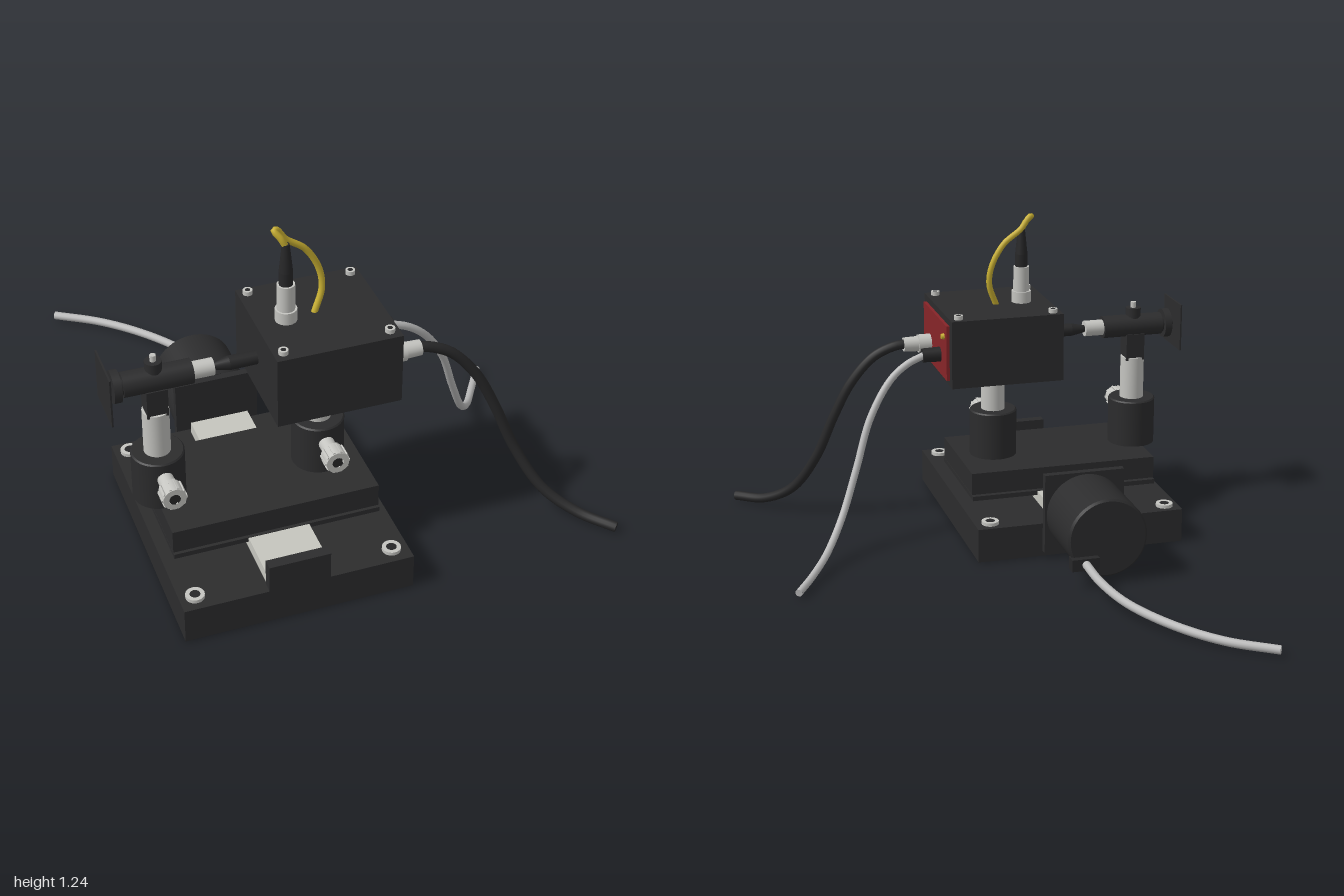
import * as THREE from 'three';

const mat = (name, color) => {
  const m = new THREE.MeshStandardMaterial({ color });
  m.name = name;
  return m;
};

export function createModel() {
  const black = mat('black anodised', 0x2c2c2d);
  const rubber = mat('black rubber', 0x272728);
  const steel = mat('steel', 0xc4c4c0);
  const railGrey = mat('rail grey', 0xc6c6be);
  const cableGrey = mat('grey cable', 0xb8b8b8);
  const red = mat('red panel', 0x872428);
  const yellow = mat('yellow fibre', 0xc9b032);

  const root = new THREE.Group();
  const group = (name, x = 0, y = 0, z = 0) => {
    const g = new THREE.Group();
    g.name = name;
    g.position.set(x, y, z);
    root.add(g);
    return g;
  };
  const add = (parent, name, geometry, material) => {
    const m = new THREE.Mesh(geometry, material);
    m.name = name;
    parent.add(m);
    return m;
  };
  // Box given by its minimum and maximum on each axis
  const box = (parent, name, material, x0, x1, y0, y1, z0, z1) =>
    add(parent, name, new THREE.BoxGeometry(x1 - x0, y1 - y0, z1 - z0), material)
      .position.set((x0 + x1) / 2, (y0 + y1) / 2, (z0 + z1) / 2);
  // Solid turned from [radius, height] points, with sharp steps, along the given axis
  const turned = (parent, name, material, points, axis = 'y', seg = 32) => {
    const pos = [];
    for (let i = 0; i < points.length - 1; i++) {
      const pair = [points[i], points[i + 1]].map(p => new THREE.Vector2(p[0], p[1]));
      const g = new THREE.LatheGeometry(pair, seg);
      if (axis === 'x') g.rotateZ(-Math.PI / 2);
      if (axis === 'z') g.rotateX(Math.PI / 2);
      pos.push(add(parent, name, g, material));
    }
    return pos;
  };
  const rod = (parent, name, material, r0, r1, a, b, axis, seg) =>
    turned(parent, name, material, [[0, a], [r0, a], [r1, b], [0, b]], axis, seg);
  const cable = (name, material, r, points) => {
    const path = new THREE.CatmullRomCurve3(points.map(p => new THREE.Vector3(...p)), false, 'centripetal');
    const g = group(name);
    add(g, name, new THREE.TubeGeometry(path, 64, r, 12), material);
    // Round disc closing each end
    [0, 1].forEach(t => {
      const cap = add(g, name + 'End', new THREE.CircleGeometry(r, 12), material);
      const p = path.getPointAt(t), d = path.getTangentAt(t).multiplyScalar(t ? 1 : -1);
      cap.position.copy(p);
      cap.lookAt(p.clone().add(d));
    });
  };
  // Socket-head screw standing on y = 0
  const capScrew = (name, x, y, z, r, h) => {
    const g = group(name, x, y, z);
    turned(g, 'head', steel, [[r, 0], [r, h], [r * 0.55, h]], 'y', 20);
    rod(g, 'socket', rubber, r * 0.55, r * 0.55, 0, h * 0.85, 'y', 6);
  };

  // Base, rail and end stop
  const base = group('base');
  box(base, 'basePlate', black, -0.755, 0.063, 0.005, 0.137, 0.065, 0.995);
  box(base, 'rail', railGrey, -0.455, -0.235, 0.137, 0.182, 0.085, 0.96);
  box(base, 'endStop', black, -0.458, -0.24, 0.137, 0.24, 0.955, 0.995);
  for (const x of [-0.7, 0.003])
    for (const z of [0.118, 0.935]) capScrew('baseScrew', x, 0.137, z, 0.033, 0.013);

  // Sliding carriage
  const carriage = group('carriage');
  box(carriage, 'carriageSkirt', black, -0.72, 0.025, 0.166, 0.184, 0.29, 0.765);
  box(carriage, 'carriagePlate', black, -0.72, 0.025, 0.186, 0.273, 0.305, 0.755);
  box(carriage, 'carriageCore', black, -0.7, 0.005, 0.18, 0.19, 0.32, 0.74);

  // Motor behind the base
  const motor = group('motor', -0.347, 0.183, 0);
  box(motor, 'flange', black, -0.157, 0.157, -0.157, 0.157, 0.037, 0.065);
  rod(motor, 'neck', rubber, 0.147, 0.147, 0.02, 0.04, 'z', 48);
  turned(motor, 'motorCan', black,
    [[0, -0.25], [0.145, -0.25], [0.153, -0.242], [0.153, 0.027], [0, 0.027]], 'z', 48);
  box(motor, 'motorPlug', rubber, 0.04, 0.145, -0.108, -0.062, -0.275, -0.23);
  cable('motorCable', cableGrey, 0.016, [
    [-0.255, 0.1, -0.265], [-0.27, 0.08, -0.4], [-0.32, 0.058, -0.56],
    [-0.43, 0.04, -0.74], [-0.56, 0.03, -0.88], [-0.72, 0.027, -0.99]]);

  // Post holders with thumbscrews and posts
  for (const x of [-0.7, -0.12]) {
    const g = group('postHolder', x, 0, 0.53);
    turned(g, 'holderBody', black,
      [[0, 0.272], [0.093, 0.272], [0.093, 0.455], [0.088, 0.46], [0, 0.46]], 'y', 40);
    rod(g, 'post', steel, 0.047, 0.047, 0.46, 0.63, 'y');
    const screw = new THREE.Group();
    screw.name = 'thumbscrew';
    screw.position.y = 0.397;
    g.add(screw);
    rod(screw, 'stem', steel, 0.028, 0.028, 0.08, 0.15, 'z', 20);
    turned(screw, 'knob', steel,
      [[0, 0.145], [0.041, 0.145], [0.041, 0.205], [0.02, 0.205]], 'z', 20);
    rod(screw, 'knobSocket', rubber, 0.02, 0.02, 0.15, 0.203, 'z', 6);
    for (let i = 0; i < 10; i++) {
      const rib = add(screw, 'knobRib', new THREE.BoxGeometry(0.008, 0.008, 0.054), steel);
      const a = i * Math.PI / 5;
      rib.position.set(Math.cos(a) * 0.041, Math.sin(a) * 0.041, 0.175);
      rib.rotation.z = a;
    }
  }

  // Lens tube and target plate on the left post
  const tube = group('lensTube', -0.7, 0.757, 0.53);
  box(tube, 'clampBlock', black, -0.037, 0.037, -0.137, -0.03, -0.037, 0.037);
  rod(tube, 'clampCap', black, 0.03, 0.03, 0, 0.073, 'y', 24);
  rod(tube, 'clampScrew', steel, 0.011, 0.011, 0.07, 0.096, 'y', 16);
  rod(tube, 'barrel', black, 0.044, 0.044, -0.112, 0.13, 'x');
  rod(tube, 'barrelNeck', rubber, 0.036, 0.036, -0.125, -0.11, 'x');
  rod(tube, 'frontRing', black, 0.057, 0.057, -0.147, -0.12, 'x');
  rod(tube, 'spindle', rubber, 0.012, 0.012, -0.168, -0.147, 'x', 12);
  box(tube, 'targetPlate', black, -0.172, -0.166, -0.093, 0.093, -0.093, 0.093);
  rod(tube, 'ferrule', steel, 0.031, 0.031, 0.13, 0.205, 'x', 24);
  turned(tube, 'strainRelief', rubber,
    [[0, 0.205], [0.014, 0.205], [0.025, 0.26], [0.024, 0.36], [0, 0.36]], 'x', 20);

  // Instrument box with red end panel
  const unit = group('instrumentBox');
  box(unit, 'housing', black, -0.342, 0.1, 0.623, 0.888, 0.309, 0.752);
  box(unit, 'endPanel', red, 0.1, 0.112, 0.645, 0.862, 0.347, 0.72);
  for (const x of [-0.308, 0.066])
    for (const z of [0.342, 0.713]) capScrew('lidScrew', x, 0.888, z, 0.017, 0.016);
  const led = group('indicatorLight', 0.112, 0.813, 0.385);
  rod(led, 'lamp', yellow, 0.012, 0.01, 0, 0.012, 'x', 16);

  // Side sockets and their cables
  const plugA = group('steelPlug', 0.112, 0.722, 0.617);
  rod(plugA, 'collar', steel, 0.036, 0.036, 0, 0.05, 'x', 24);
  rod(plugA, 'plugBody', steel, 0.03, 0.028, 0.05, 0.108, 'x', 24);
  const plugB = group('blackPlug', 0.112, 0.722, 0.455);
  rod(plugB, 'plugBody', rubber, 0.029, 0.027, 0, 0.07, 'x', 24);
  cable('blackCable', rubber, 0.019, [
    [0.21, 0.725, 0.616], [0.255, 0.718, 0.62], [0.335, 0.68, 0.63], [0.425, 0.577, 0.645],
    [0.495, 0.437, 0.665], [0.565, 0.26, 0.7], [0.65, 0.11, 0.78], [0.75, 0.04, 0.87], [0.855, 0.022, 0.975]]);
  cable('greyCable', cableGrey, 0.014, [
    [0.175, 0.722, 0.455], [0.24, 0.695, 0.45], [0.31, 0.64, 0.44], [0.4, 0.505, 0.405],
    [0.47, 0.32, 0.355], [0.54, 0.16, 0.29], [0.62, 0.065, 0.18], [0.7, 0.032, 0.05], [0.775, 0.02, -0.07]]);

  // Top connector and looping fibre
  const top = group('topConnector', -0.235, 0, 0.53);
  rod(top, 'nut', steel, 0.038, 0.038, 0.888, 0.933, 'y', 24);
  rod(top, 'sleeve', steel, 0.031, 0.031, 0.933, 1.03, 'y', 24);
  turned(top, 'boot', rubber,
    [[0, 1.03], [0.024, 1.03], [0.024, 1.08], [0.013, 1.185], [0, 1.185]], 'y', 20);
  cable('yellowFibre', yellow, 0.0115, [
    [-0.235, 1.175, 0.53], [-0.25, 1.205, 0.525], [-0.268, 1.23, 0.51], [-0.257, 1.228, 0.502],
    [-0.225, 1.185, 0.5], [-0.155, 1.13, 0.497], [-0.108, 1.045, 0.5], [-0.1, 0.97, 0.507], [-0.13, 0.885, 0.518]]);

  return root;
}
